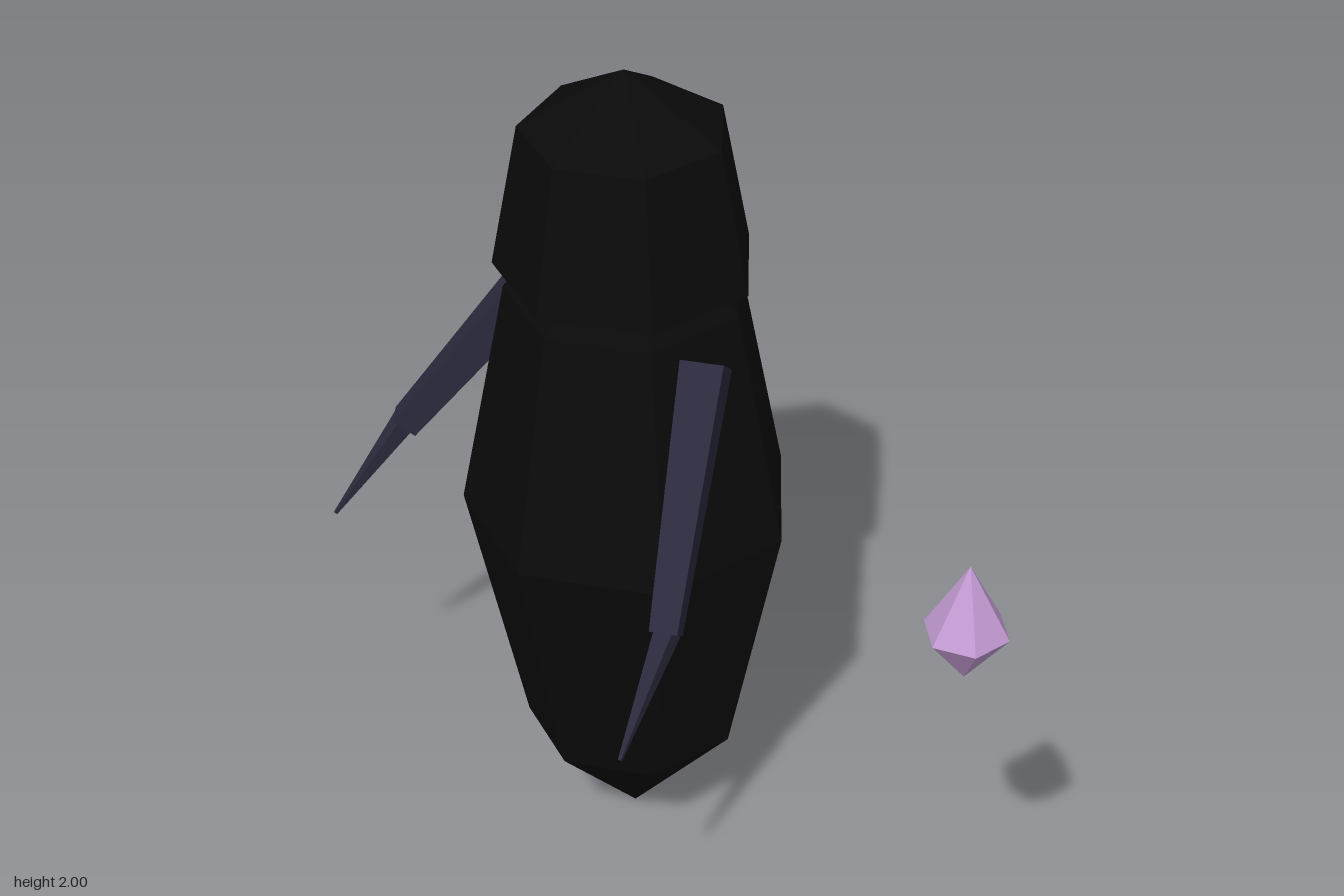
import * as THREE from 'three';

const flat = (name, color) => {
  const m = new THREE.MeshStandardMaterial({ color, flatShading: true });
  m.name = name;
  return m;
};

const AXIS_X = -0.32, AXIS_Z = -0.04; // upright axis of the cloaked figure

export function createModel() {
  const model = new THREE.Group();
  const cloakMat = flat('cloakBlack', 0x0a0a0a);
  const armMat = flat('armSlate', 0x2a2a3d);
  const crystalMat = flat('crystalLilac', 0xc39bd3);

  // Faceted solid of revolution from [radius, height] pairs, bottom to top
  const turned = (name, profile, sides, startAngle, material, x, z) => {
    const points = profile.map(([r, y]) => new THREE.Vector2(r, y));
    const mesh = new THREE.Mesh(new THREE.LatheGeometry(points, sides, startAngle), material);
    mesh.name = name;
    mesh.position.set(x, 0, z);
    return mesh;
  };

  // Tapered four-sided bar between two points, with two edges of each end level
  const bar = (name, from, to, sideFrom, sideTo) => {
    const up = from.clone().sub(to);
    const geometry = new THREE.CylinderGeometry(sideFrom * Math.SQRT1_2, sideTo * Math.SQRT1_2, up.length(), 4);
    geometry.rotateY(Math.PI / 4);
    up.normalize();
    const across = new THREE.Vector3(0, 1, 0).cross(up).normalize();
    const depth = across.clone().cross(up);
    geometry.applyMatrix4(new THREE.Matrix4().makeBasis(across, up, depth));
    const mid = from.clone().add(to).multiplyScalar(0.5);
    geometry.translate(mid.x, mid.y, mid.z);
    const mesh = new THREE.Mesh(geometry, armMat);
    mesh.name = name;
    return mesh;
  };

  // Seven-sided cloak and hood
  model.add(turned('cloakBody',
    [[0, 0], [0.25, 0.285], [0.38, 0.91], [0.27, 1.47], [0, 1.86]],
    7, -Math.PI / 2, cloakMat, AXIS_X, AXIS_Z));
  model.add(turned('hood',
    [[0, 1.53], [0.292, 1.53], [0.228, 1.865], [0, 2]],
    7, -Math.PI / 2, cloakMat, AXIS_X, AXIS_Z));

  // Mirrored arms: upper arm and pointed forearm
  for (const side of [1, -1]) {
    const at = (dx, y, z) => new THREE.Vector3(AXIS_X + side * dx, y, z);
    const arm = new THREE.Group();
    arm.name = side > 0 ? 'leftArm' : 'rightArm';
    arm.add(bar('upperArm', at(0.28, 1.415, -0.04), at(0.502, 0.96, 0.238), 0.096, 0.062));
    arm.add(bar('forearm', at(0.505, 0.965, 0.236), at(0.563, 0.738, 0.408), 0.044, 0.007));
    model.add(arm);
  }

  // Floating six-sided crystal
  model.add(turned('crystal', [[0, 1.108], [0.09, 1.225], [0, 1.385]],
    6, 0, crystalMat, 0.808, -0.042));

  return model;
}
